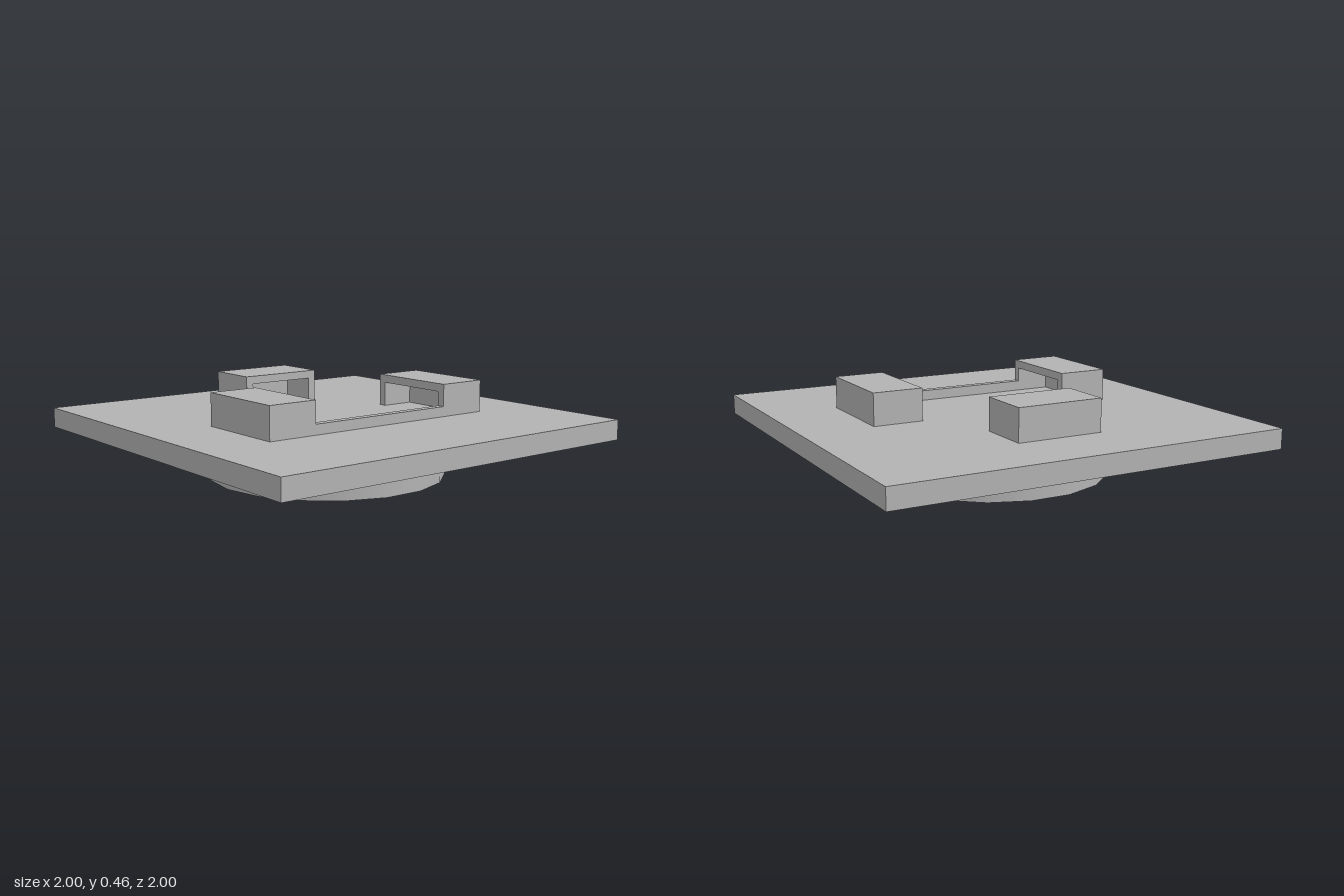
import * as THREE from 'three';

const grey = new THREE.MeshStandardMaterial({ color: 0xb2b2b2 });
grey.name = 'plain grey';

const PLATE_TOP = 0.3;

function add(parent, name, geometry, x, y, z) {
  const mesh = new THREE.Mesh(geometry, grey);
  mesh.name = name;
  mesh.position.set(x, y, z);
  parent.add(mesh);
  return mesh;
}

// Hollow block, open towards its local +z, standing on local y = 0
function hollowBlock(name, width, depth) {
  const height = 0.16, side = 0.04, roof = 0.04, back = 0.08;
  const w = width / 2, i = w - side, h = height - roof;
  const arch = new THREE.Shape([
    [-w, 0], [-i, 0], [-i, h], [i, h], [i, 0], [w, 0], [w, height], [-w, height],
  ].map(([x, y]) => new THREE.Vector2(x, y)));
  const block = new THREE.Group();
  block.name = name;
  const archGeometry = new THREE.ExtrudeGeometry(arch, { depth: depth - back, bevelEnabled: false });
  add(block, 'blockArch', archGeometry, 0, 0, -depth / 2 + back);
  add(block, 'blockBackWall', new THREE.BoxGeometry(width, height, back), 0, height / 2, -depth / 2 + back / 2);
  return block;
}

export function createModel() {
  const model = new THREE.Group();
  model.name = 'mountingPlate';

  // Square plate
  add(model, 'plate', new THREE.BoxGeometry(2, 0.1, 2), 0, 0.25, 0);

  // Round boss under the plate, with a vertex on the x axis
  const boss = new THREE.CylinderGeometry(0.59, 0.59, 0.2, 18, 1, false, Math.PI / 2);
  add(model, 'boss', boss, -0.004, 0.1, 0);

  // Four locating pins near the corners
  const pin = new THREE.CylinderGeometry(0.049, 0.049, 0.056, 18);
  for (const x of [-1, 1]) {
    for (const z of [-1, 1]) add(model, 'pin', pin, x * 0.64, 0.172, z * 0.64);
  }

  // Three hollow blocks facing the middle
  const blocks = [
    ['backBlock', 0.435, 0.27, -0.002, -0.523, 0],
    ['rightBlock', 0.475, 0.252, -0.52, 0.185, Math.PI / 2],
    ['leftBlock', 0.475, 0.252, 0.516, 0.185, -Math.PI / 2],
  ];
  for (const [name, width, depth, x, z, turn] of blocks) {
    const block = hollowBlock(name, width, depth);
    block.position.set(x, PLATE_TOP, z);
    block.rotation.y = turn;
    model.add(block);
  }

  // Low bar joining the two side blocks
  add(model, 'frontBar', new THREE.BoxGeometry(0.785, 0.05, 0.04), -0.002, PLATE_TOP + 0.025, 0.4025);

  return model;
}
